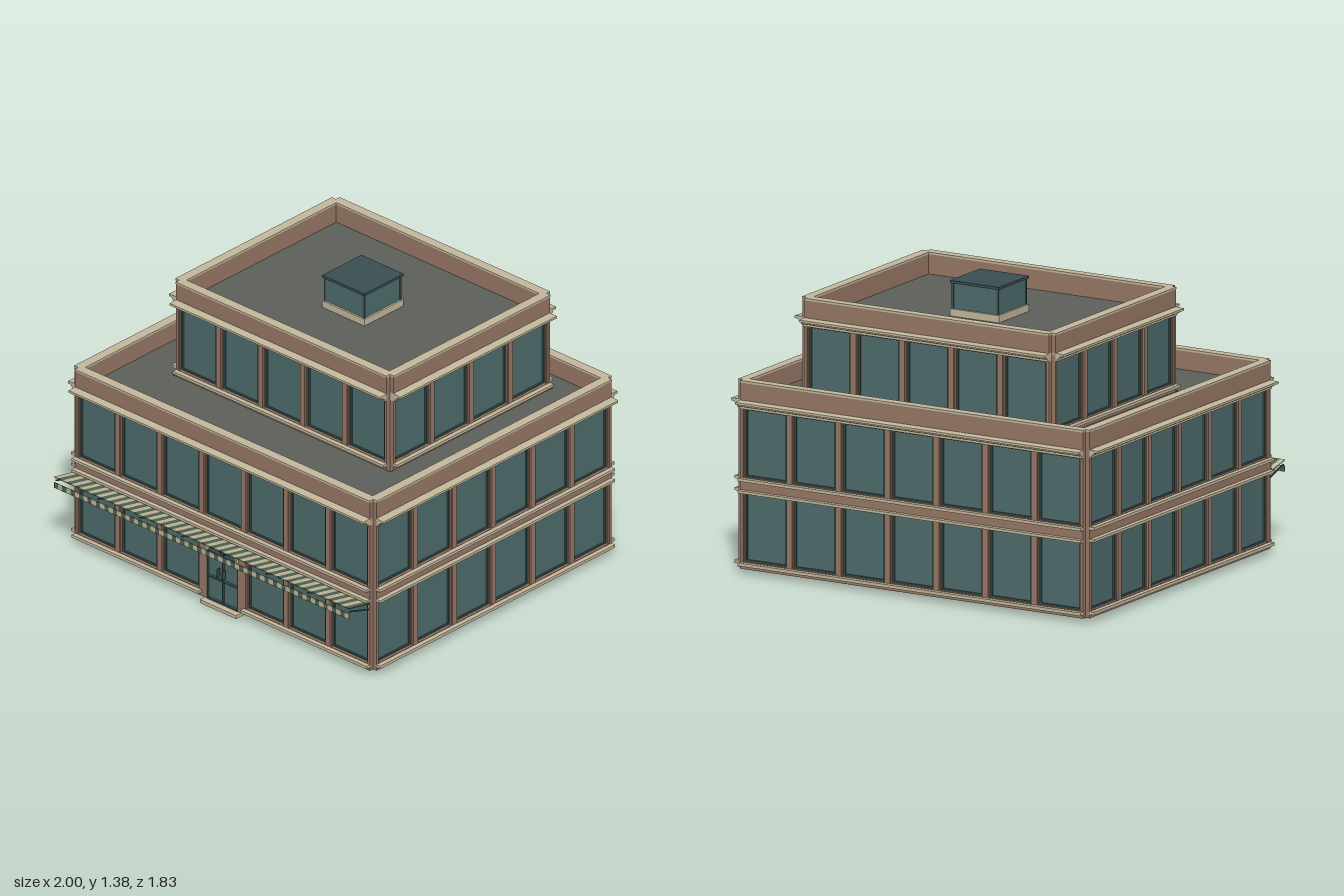
import * as THREE from 'three';

const mat = (color) => new THREE.MeshStandardMaterial({ color, side: THREE.DoubleSide });
const brick = mat(0x9b7a68), stone = mat(0xc6bb9f), glass = mat(0x4f6e6d), frame = mat(0x3b5352);
const roofing = mat(0x5d605b), green = mat(0x4f6650), lidGlass = mat(0x3a4f54);

const BAY = 0.267, HB = BAY / 2, T = 0.022; // bay width, half bay, half wall thickness
const CZ = -0.055;                          // centre of the main block in z
const UZ = -0.19;                           // centre of the upper block in z

function add(group, name, geometry, material) {
  const mesh = new THREE.Mesh(geometry, material);
  mesh.name = name;
  group.add(mesh);
  return mesh;
}

// Box given by its limits on each axis
function box(group, name, material, x0, x1, y0, y1, z0, z1) {
  const mesh = add(group, name, new THREE.BoxGeometry(x1 - x0, y1 - y0, z1 - z0), material);
  mesh.position.set((x0 + x1) / 2, (y0 + y1) / 2, (z0 + z1) / 2);
  return mesh;
}

// Glazed opening with pilaster halves on both sides
function windowUnit(g, y0, y1) {
  const w = 0.112;
  box(g, 'windowPane', glass, -w, w, y0, y1, -0.008, 0);
  for (const s of [-1, 1]) {
    const wide = [s * w, s * HB].sort((a, b) => a - b);
    const slim = [s * 0.119, s * HB].sort((a, b) => a - b);
    const jamb = [s * w, s * (w - 0.008)].sort((a, b) => a - b);
    box(g, 'pilasterBack', brick, ...wide, y0, y1, -T, 0.013);
    box(g, 'pilaster', brick, ...slim, y0, y1, 0.013, T);
    box(g, 'windowJamb', frame, ...jamb, y0, y1, -0.014, 0.008);
  }
  box(g, 'windowHead', frame, -w, w, y1 - 0.008, y1, -0.014, 0.008);
  box(g, 'windowFoot', frame, -w, w, y0, y0 + 0.008, -0.014, 0.008);
}

function groundBay() {
  const g = new THREE.Group();
  g.name = 'groundBay';
  box(g, 'plinth', brick, -HB, HB, 0.02, 0.055, -T, T);
  box(g, 'sill', stone, -HB, HB, 0.037, 0.052, T, 0.045);
  windowUnit(g, 0.055, 0.385);
  box(g, 'lintelWall', brick, -HB, HB, 0.385, 0.4, -T, T);
  box(g, 'lintelBand', stone, -HB, HB, 0.385, 0.398, T, 0.045);
  return g;
}

// Stepped cornice swept along one bay: x is outward, y is up
const corniceShape = new THREE.Shape([
  [0, 0.786], [0.03, 0.786], [0.03, 0.796], [0.042, 0.8], [0.046, 0.81],
  [0.065, 0.812], [0.065, 0.823], [0, 0.827],
].map((p) => new THREE.Vector2(...p)));
const corniceGeo = new THREE.ExtrudeGeometry(corniceShape, { depth: BAY, bevelEnabled: false });
corniceGeo.rotateY(-Math.PI / 2).translate(HB, 0, 0);

// Upper floor bay with cornice and parapet
function topBay(lift = 0) {
  const g = new THREE.Group();
  g.name = 'topBay';
  g.position.y = lift;
  box(g, 'spandrel', brick, -HB, HB, 0.4, 0.458, -T, T);
  box(g, 'sill', stone, -HB, HB, 0.442, 0.456, T, 0.045);
  windowUnit(g, 0.458, 0.786);
  box(g, 'parapet', brick, -HB, HB, 0.786, 0.91, -T, T);
  add(g, 'cornice', corniceGeo, stone);
  box(g, 'parapetCap', stone, -HB, HB, 0.91, 0.92, -T - 0.002, T + 0.003);
  return g;
}

// Entrance bay: arched wall, double door, fanlight and step
function doorBay() {
  const g = new THREE.Group();
  g.name = 'entranceBay';
  const r = 0.1, spring = 0.28;
  const wall = new THREE.Shape();
  wall.moveTo(-HB, 0.02).lineTo(HB, 0.02).lineTo(HB, 0.4).lineTo(-HB, 0.4).closePath();
  const hole = new THREE.Path();
  hole.moveTo(-r, 0.021).lineTo(-r, spring).absarc(0, spring, r, Math.PI, 0, true).lineTo(r, 0.021).closePath();
  wall.holes.push(hole);
  add(g, 'archWall', new THREE.ExtrudeGeometry(wall, { depth: 2 * T, bevelEnabled: false, curveSegments: 16 }), brick).position.z = -T;

  box(g, 'door', glass, -r, r, 0.02, spring, 0, 0.012);
  const fan = add(g, 'fanlight', new THREE.CircleGeometry(r, 16, 0, Math.PI), glass);
  fan.position.set(0, spring, 0.008);
  for (const y of [0.02, 0.14, 0.272]) box(g, 'doorRail', frame, -r, r, y, y + 0.008, 0.01, 0.024);
  for (const x of [-r, -0.003, r - 0.006]) box(g, 'doorStile', frame, x, x + 0.006, 0.02, spring, 0.01, 0.022);
  for (const s of [-1, 1]) box(g, 'doorHandle', frame, s * 0.017 - 0.003, s * 0.017 + 0.003, 0.165, 0.208, 0.022, 0.042);
  for (let i = 1; i < 6; i++) {
    const a = (i * Math.PI) / 6;
    const bar = add(g, 'fanlightBar', new THREE.BoxGeometry(r, 0.005, 0.01), frame);
    bar.position.set(Math.cos(a) * r / 2, spring + Math.sin(a) * r / 2, 0.014);
    bar.rotation.z = a;
  }
  const ring = new THREE.Shape();
  ring.absarc(0, spring, r + 0.004, 0, Math.PI, false).absarc(0, spring, r - 0.008, Math.PI, 0, true);
  add(g, 'archTrim', new THREE.ExtrudeGeometry(ring, { depth: 0.02, bevelEnabled: false, curveSegments: 16 }), stone).position.z = 0.015;
  box(g, 'lintelBand', stone, -HB, HB, 0.385, 0.398, T, 0.045);
  box(g, 'doorStep', stone, -0.115, 0.115, 0, 0.018, -T, 0.052);
  return g;
}

// Four walls of nx by nz bays around a centre; make(side, index) gives a bay
function ring(name, nx, nz, cz, make) {
  const g = new THREE.Group();
  g.name = name;
  g.position.z = cz;
  for (let side = 0; side < 4; side++) {
    const wall = new THREE.Group();
    wall.name = ['frontWall', 'leftWall', 'backWall', 'rightWall'][side];
    wall.rotation.y = side * Math.PI / 2;
    const [n, across] = side % 2 ? [nz, nx] : [nx, nz];
    for (let i = 0; i < n; i++) {
      const bay = make(side, i);
      bay.position.x = (i - (n - 1) / 2) * BAY;
      bay.position.z = across * HB;
      wall.add(bay);
    }
    g.add(wall);
  }
  return g;
}

// Striped awning over the front, rising outwards, with a hanging valance
function awning() {
  const g = new THREE.Group();
  g.name = 'awning';
  const n = 70, w = (7 * BAY) / n, zi = 0.765, zo = 0.912, yi = 0.374, yo = 0.406;
  const len = Math.hypot(zo - zi, yo - yi), tilt = -Math.atan2(yo - yi, zo - zi);
  for (let i = 0; i < n; i++) {
    const x = -3.5 * BAY + (i + 0.5) * w;
    const strip = add(g, 'awningStripe', new THREE.BoxGeometry(w, 0.004, len), i % 2 ? green : stone);
    strip.position.set(x, (yi + yo) / 2, (zi + zo) / 2);
    strip.rotation.x = tilt;
    box(g, 'valanceStripe', i % 2 ? stone : green, x - w / 2, x + w / 2, 0.35, 0.378, 0.908, 0.912);
  }
  for (let i = 0; i <= 7; i++) {
    const arm = add(g, 'awningArm', new THREE.BoxGeometry(0.006, 0.006, 0.135), frame);
    arm.position.set((i - 3.5) * BAY * 0.996, 0.366, 0.838);
    arm.rotation.x = -0.3;
  }
  return g;
}

export function createModel() {
  const model = new THREE.Group();
  model.name = 'building';

  model.add(ring('groundFloor', 7, 6, CZ, (side, i) => (side === 0 && i === 3 ? doorBay() : groundBay())));
  model.add(ring('secondFloor', 7, 6, CZ, () => topBay()));
  model.add(ring('thirdFloor', 5, 4, UZ, () => topBay(0.4)));
  model.add(awning());

  // Lower roof is a frame, open under the upper block
  const rect = (P, hx, hz, c) => new P([[-hx, c - hz], [hx, c - hz], [hx, c + hz], [-hx, c + hz]].map((p) => new THREE.Vector2(...p)));
  const deck = rect(THREE.Shape, 3.5 * BAY - 0.01, 3 * BAY - 0.01, -CZ);
  deck.holes.push(rect(THREE.Path, 2.5 * BAY + T, 2 * BAY + T, -UZ));
  const lower = add(model, 'lowerRoof', new THREE.ExtrudeGeometry(deck, { depth: 0.01, bevelEnabled: false }), roofing);
  lower.rotation.x = -Math.PI / 2;
  lower.position.y = 0.81;
  box(model, 'upperRoof', roofing, -2.5 * BAY + 0.01, 2.5 * BAY - 0.01, 1.205, 1.215, UZ - 2 * BAY + 0.01, UZ + 2 * BAY - 0.01);

  // Skylight
  const sky = new THREE.Group();
  sky.name = 'skylight';
  sky.position.z = UZ;
  box(sky, 'skylightCurb', stone, -HB, HB, 1.215, 1.25, -HB, HB);
  box(sky, 'skylightGlass', glass, -0.124, 0.124, 1.25, 1.372, -0.124, 0.124);
  for (const sx of [-1, 1]) for (const sz of [-1, 1]) {
    const post = add(sky, 'skylightPost', new THREE.BoxGeometry(0.01, 0.122, 0.01), frame);
    post.position.set(sx * 0.122, 1.311, sz * 0.122);
  }
  box(sky, 'skylightLid', lidGlass, -HB, HB, 1.372, 1.385, -HB, HB);
  model.add(sky);
  return model;
}
